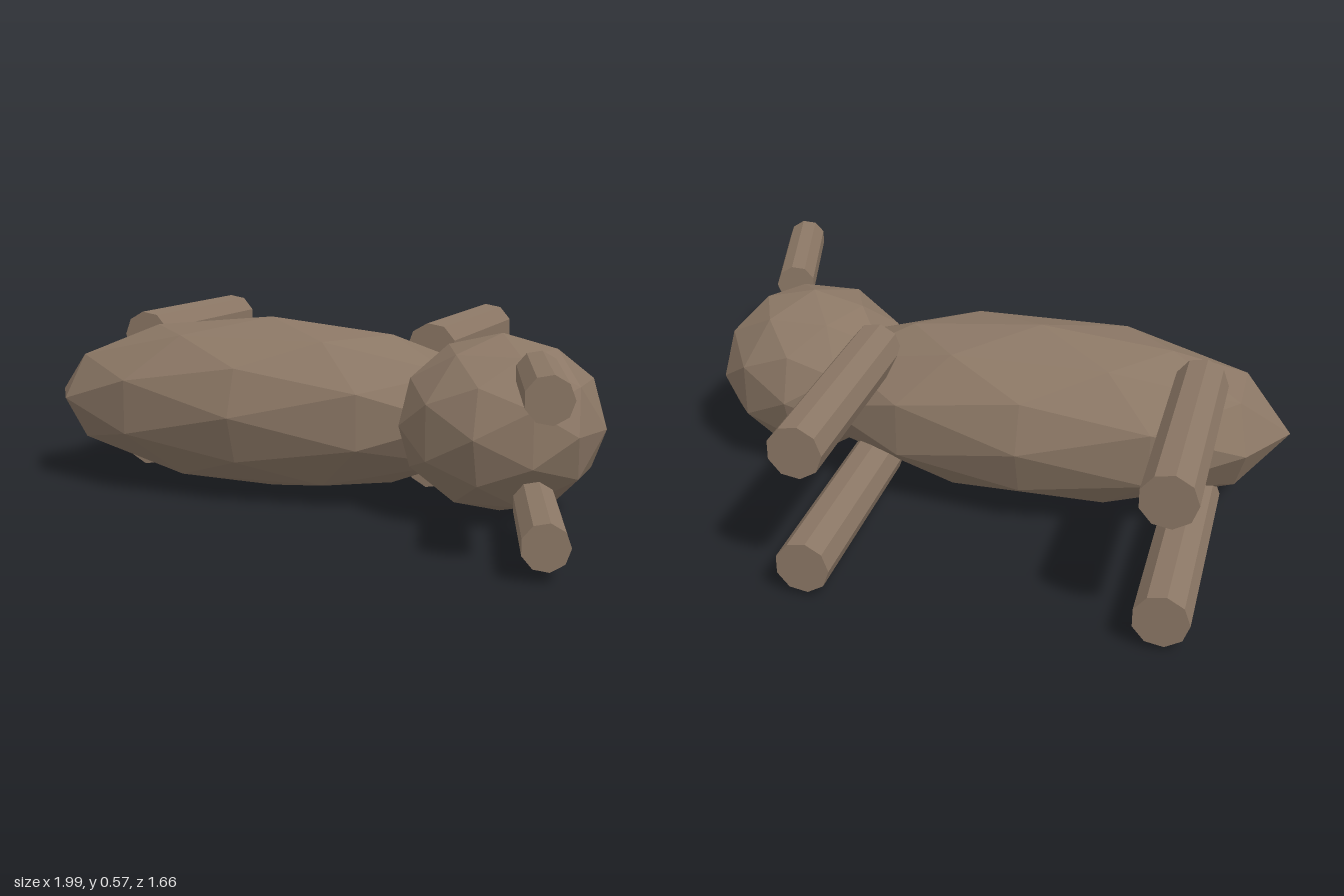
import * as THREE from 'three';

const MID = 0.2915; // height of the body axis

export function createModel() {
  const model = new THREE.Group();
  const brown = new THREE.MeshStandardMaterial({ color: 0x8b7765, flatShading: true });
  brown.name = 'brown';

  const add = (name, geometry, x, y, z) => {
    const mesh = new THREE.Mesh(geometry, brown);
    mesh.name = name;
    mesh.position.set(x, y, z);
    model.add(mesh);
    return mesh;
  };

  // Faceted ellipsoid
  const blob = (rx, ry, rz) => new THREE.IcosahedronGeometry(1, 1).scale(rx, ry, rz);

  // Nine-sided rod lying along z, with one edge pointing to the given side in x
  const rod = (radius, length, side) =>
    new THREE.CylinderGeometry(radius, radius, length, 9, 1, false, side * Math.PI / 2)
      .rotateX(Math.PI / 2);

  // Long body and round head
  add('body', blob(0.81, 0.287, 0.362), -0.19, MID, 0);
  add('head', blob(0.325, 0.278, 0.325), 0.627, MID, 0.113);

  // Upper and lower pairs of limbs
  for (const [label, s] of [['upper', 1], ['lower', -1]]) {
    const y = MID + s * 0.192;
    add(label + 'RearLeg', rod(0.0835, 0.734, -1), -0.719, y, -0.467);
    add(label + 'FrontLeg', rod(0.0835, 0.734, -1), 0.335, y, -0.467);
    // Thinner rods leaning outward from the head
    add(label + 'Horn', rod(0.0665, 0.49, 1), 0.858, y, 0.575).rotation.y = 0.285;
  }
  return model;
}
